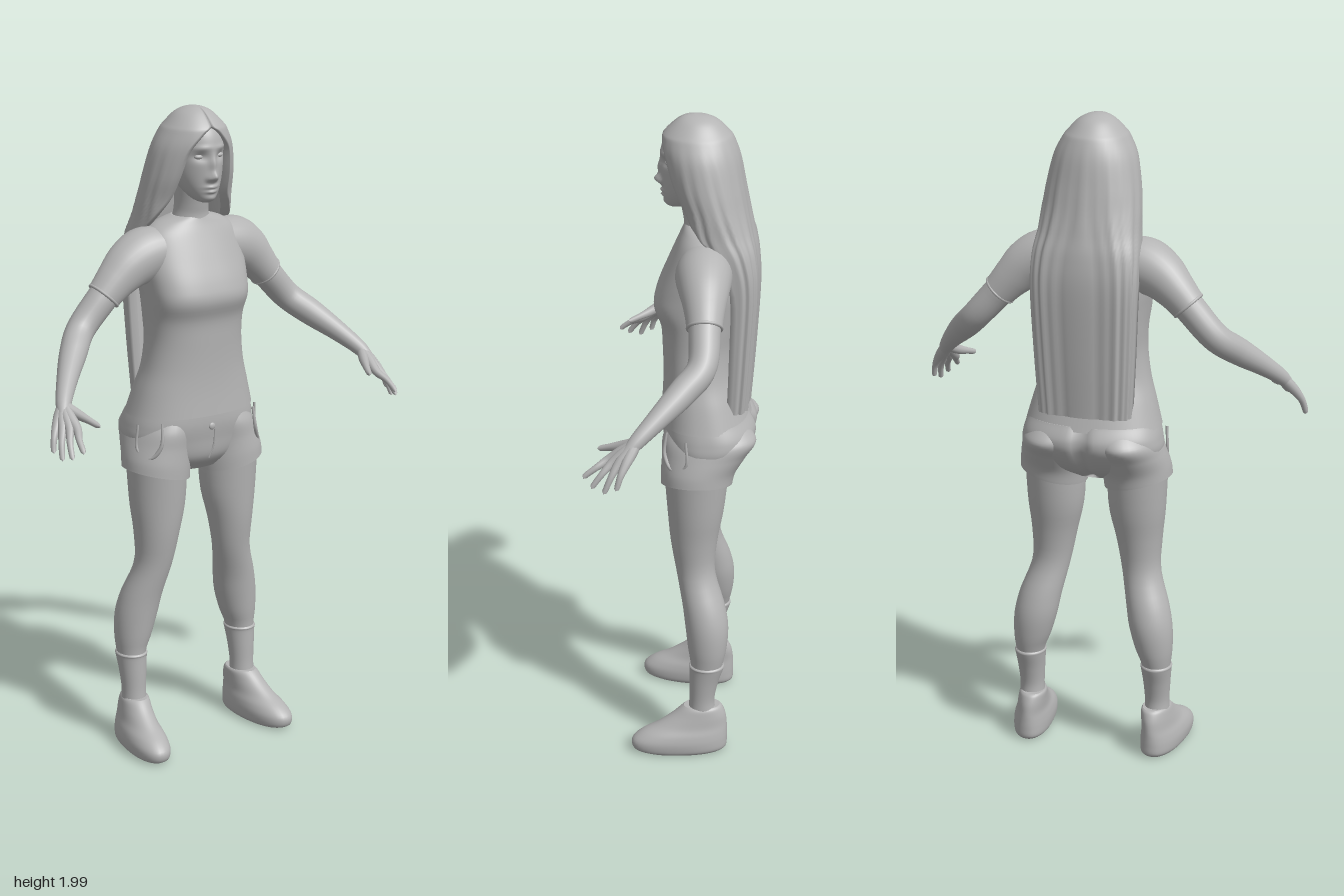
import * as THREE from 'three';

const grey = new THREE.MeshStandardMaterial({ color: 0xb4b4b4 });
grey.name = 'clay grey';

// Smooth interpolation through a list of equally long number rows, t in 0..1
function sample(rows, t) {
  const f = t * (rows.length - 1), i = Math.min(Math.floor(f), rows.length - 2), u = f - i;
  const at = (k) => rows[Math.max(0, Math.min(rows.length - 1, k))];
  const [a, b, c, d] = [at(i - 1), at(i), at(i + 1), at(i + 2)];
  return b.map((_, k) => b[k] + 0.5 * u * (c[k] - a[k]
    + u * (2 * a[k] - 5 * b[k] + 4 * c[k] - d[k] + u * (3 * (b[k] - c[k]) + d[k] - a[k]))));
}

// Skin a list of closed rings, bottom to top, with flat caps
function skin(rings) {
  const n = rings[0].length;
  const middle = (r) => {
    const m = r.reduce((s, p) => s.add(p), new THREE.Vector3()).divideScalar(n);
    return r.map(() => m);
  };
  const first = rings[0], last = rings[rings.length - 1];
  const pos = [], idx = [];
  for (const rows of [[middle(first), first], rings, [last, middle(last)]]) {
    const base = pos.length / 3;
    rows.forEach((r) => r.forEach((p) => pos.push(p.x, p.y, p.z)));
    for (let j = 0; j < rows.length - 1; j++) for (let i = 0; i < n; i++) {
      const a = base + j * n + i, b = base + j * n + (i + 1) % n;
      idx.push(a, b, b + n, a, b + n, a + n);
    }
  }
  const g = new THREE.BufferGeometry();
  g.setAttribute('position', new THREE.Float32BufferAttribute(pos, 3));
  g.setIndex(idx);
  g.computeVertexNormals();
  return g;
}

const power = (v, n) => Math.sign(v) * Math.abs(v) ** (2 / n);

// Stack of oval sections [y, centre x, half width, front z, back z, squareness (2 if left out)]
function loft(sections, side = 1, rule = null, rows = 32, cols = 40) {
  const full = sections.map((s) => [...s, 2].slice(0, 6));
  const rings = [];
  for (let j = 0; j <= rows; j++) {
    const [y, cx, hw, zf, zb, n] = sample(full, j / rows);
    const ring = [];
    for (let i = 0; i < cols; i++) {
      const a = i / cols * Math.PI * 2;
      const p = new THREE.Vector3(side * cx + hw * power(Math.sin(a), n), y,
        (zf + zb) / 2 + (zf - zb) / 2 * power(Math.cos(a), n));
      if (rule) rule(p, side * cx);
      ring.push(p);
    }
    rings.push(ring);
  }
  return skin(rings);
}

// Tapered tube through points [x, y, z, radius]
function limb(points, side = 1, segs = 24, sides = 16) {
  const curve = new THREE.CatmullRomCurve3(points.map((p) => new THREE.Vector3(side * p[0], p[1], p[2])));
  const radii = points.map((p) => [p[3]]);
  const g = new THREE.TubeGeometry(curve, segs, 1, sides), pos = g.attributes.position, v = new THREE.Vector3();
  for (let j = 0; j <= segs; j++) {
    const c = curve.getPointAt(j / segs);
    const r = Math.max(0.0005, sample(radii, curve.getUtoTmapping(j / segs))[0]);
    for (let i = 0; i <= sides; i++) {
      const k = j * (sides + 1) + i;
      v.fromBufferAttribute(pos, k).sub(c).multiplyScalar(r).add(c);
      pos.setXYZ(k, v.x, v.y, v.z);
    }
  }
  return g;
}

// Long hair: crescent sections [y, half width, front z, back z, squareness, reach in degrees, thickness]
function hairGeometry() {
  const sections = [
    [1.12, .142, -.10, -.21, 3.6, 92, .025], [1.3, .152, -.10, -.224, 3.6, 92, .025],
    [1.5, .16, -.10, -.235, 3.6, 93, .025], [1.6, .16, -.07, -.229, 3.2, 98, .025],
    [1.67, .152, -.02, -.215, 2.6, 120, .025], [1.73, .148, .005, -.203, 2.2, 138, .025],
    [1.8, .14, .035, -.19, 2.1, 143, .03], [1.88, .124, .055, -.175, 2, 148, .03],
    [1.93, .1, .055, -.157, 2, 165, .025], [1.95, .085, .046, -.143, 2, 180, .02],
    [1.98, .056, .015, -.112, 2, 180, .015], [1.995, .028, -.01, -.08, 2, 180, .008],
    [2, .002, -.04, -.044, 2, 180, .001]];
  const rings = [], rows = 60, cols = 60;
  for (let j = 0; j <= rows; j++) {
    const [y, hw, zf, zb, n, reach, t] = sample(sections, j / rows);
    const amax = Math.min(reach, 180) * Math.PI / 180, d = (zf - zb) / 2;
    const strand = 0.004 * THREE.MathUtils.clamp((1.95 - y) * 4, 0, 1);
    const arc = (inset) => Array.from({ length: cols + 1 }, (_, i) => {
      const a = amax * (2 * i / cols - 1);
      const k = inset ? -inset : strand * Math.cos(a * 17) * Math.cos(a * 5);
      return new THREE.Vector3(-(hw + k) * power(Math.sin(a), n), y, (zf + zb) / 2 - (d + k) * power(Math.cos(a), n));
    });
    rings.push([...arc(0), ...arc(t).reverse()]);
  }
  return skin(rings);
}

// Face relief: [x, y, spread x, spread y, depth]
const relief = [
  [0, 1.803, .013, .014, .021], [0, 1.838, .01, .03, .011], [.034, 1.862, .02, .013, -.011],
  [-.034, 1.862, .02, .013, -.011], [.034, 1.888, .026, .007, .004], [-.034, 1.888, .026, .007, .004],
  [0, 1.772, .02, .005, .008], [0, 1.758, .017, .005, .008], [0, 1.738, .02, .009, .004],
  [.014, 1.798, .007, .008, .007], [-.014, 1.798, .007, .008, .007]];
function sculptFace(p) {
  if (p.z < 0) return;
  const { x, y } = p;
  for (const [bx, by, sx, sy, d] of relief) p.z += d * Math.exp(-(((x - bx) / sx) ** 2) - ((y - by) / sy) ** 2);
}

export function createModel() {
  const model = new THREE.Group();
  model.name = 'standing woman';
  const add = (name, geometry) => {
    const m = new THREE.Mesh(geometry, grey);
    m.name = name;
    model.add(m);
    return m;
  };

  // Head, neck and hair
  add('head', loft([
    [1.722, 0, .012, .028, .0], [1.732, 0, .032, .043, -.04], [1.76, 0, .054, .05, -.085],
    [1.8, 0, .07, .053, -.12], [1.85, 0, .077, .056, -.14], [1.9, 0, .078, .056, -.145],
    [1.94, 0, .066, .04, -.13], [1.97, 0, .04, 0, -.095]], 1, sculptFace, 72, 96));
  add('neck', loft([[1.62, 0, .075, .0, -.14], [1.67, 0, .056, -.01, -.12], [1.71, 0, .05, -.005, -.115],
    [1.78, 0, .052, .01, -.115]]));
  add('hair', hairGeometry());

  // Shirt body
  add('shirt', loft([
    [1.075, 0, .207, .058, -.215, 2.3], [1.15, 0, .187, .052, -.19, 2.3], [1.22, 0, .167, .05, -.167, 2.3],
    [1.3, 0, .155, .052, -.16, 2.4], [1.37, 0, .155, .057, -.165, 2.6], [1.43, 0, .16, .077, -.17, 2.8],
    [1.48, 0, .165, .068, -.175, 2.7], [1.55, 0, .17, .04, -.175, 2.4], [1.62, 0, .155, .01, -.16, 2.2],
    [1.655, 0, .115, -.005, -.145], [1.674, 0, .06, -.012, -.122]], 1, null, 48, 64));

  // Shorts seat with a cleft at the back, button and fly
  add('shortsSeat', loft([
    [.895, 0, .1, .0, -.1], [.94, 0, .19, .035, -.175], [1, 0, .215, .046, -.222, 2.3],
    [1.045, 0, .212, .052, -.232, 2.4], [1.09, 0, .2, .052, -.212, 2.3]], 1,
    (p) => { if (p.z < -.1) p.z += .022 * Math.exp(-((p.x / .018) ** 2)); }, 32, 80));
  const button = add('shortsButton', new THREE.SphereGeometry(.011, 16, 10));
  button.position.set(0, 1.04, .052);
  button.scale.z = .5;
  add('shortsFly', limb([[.012, 1.03, .05, .003], [.012, .98, .044, .003], [0, .935, .034, .003]], 1, 10, 8));

  for (const side of [1, -1]) {
    const name = (part) => (side > 0 ? 'left' : 'right') + part;

    // Eye
    const eye = add(name('Eye'), new THREE.SphereGeometry(.013, 20, 12));
    eye.position.set(side * .034, 1.862, .032);
    eye.scale.set(1.2, .6, .8);

    // Shorts leg with slanted hem, and pocket edge
    add(name('ShortsLeg'), loft([
      [.892, .134, .103, .05, -.165], [.93, .13, .103, .05, -.175], [.98, .122, .1, .047, -.205],
      [1.03, .112, .095, .046, -.235], [1.075, .1, .08, .03, -.2]], side,
      (p, cx) => { p.y += .22 * side * (p.x - cx) * THREE.MathUtils.clamp((1.05 - p.y) / .15, 0, 1); }));
    add(name('Pocket'), limb([[.165, 1.07, .03, .004], [.172, 1.0, .036, .006], [.195, .96, .012, .006],
      [.215, .98, -.03, .005], [.213, 1.06, -.03, .004]], side, 24, 8));

    // Leg
    add(name('Leg'), loft([
      [.13, .205, .034, -.045, -.12], [.2, .205, .035, -.046, -.118], [.3, .205, .044, -.046, -.143],
      [.36, .197, .058, -.037, -.156], [.43, .186, .067, -.028, -.16], [.5, .172, .066, -.018, -.147],
      [.6, .145, .06, .002, -.116], [.7, .136, .071, .02, -.122], [.8, .13, .087, .03, -.14],
      [.93, .13, .093, .04, -.155]], side));

    // Sock
    add(name('Sock'), loft([
      [.13, .205, .04, -.038, -.126], [.18, .205, .038, -.042, -.12], [.24, .205, .042, -.042, -.131],
      [.29, .205, .047, -.042, -.147], [.3, .205, .049, -.04, -.149], [.305, .205, .045, -.044, -.146]], side));

    // Shoe, toes turned out
    add(name('Shoe'), loft([
      [.006, .215, .05, .11, -.145, 2.2], [.018, .215, .059, .132, -.158, 2.3], [.045, .215, .062, .135, -.16, 2.2],
      [.07, .214, .058, .108, -.16, 2.1], [.095, .212, .05, .06, -.159], [.125, .209, .046, .015, -.155],
      [.15, .206, .043, -.015, -.145], [.158, .205, .038, -.025, -.136]], side,
      (p) => { p.x += side * .1 * (p.z + .05); }));

    // Sleeve and its hem
    add(name('Sleeve'), limb([[.09, 1.575, -.075, .07], [.155, 1.565, -.078, .083], [.205, 1.54, -.082, .075],
      [.25, 1.5, -.086, .061], [.292, 1.455, -.089, .052]], side, 24, 28));
    const hem = add(name('SleeveHem'), new THREE.TorusGeometry(.049, .005, 8, 36));
    hem.position.set(side * .291, 1.456, -.089);
    hem.quaternion.setFromUnitVectors(new THREE.Vector3(0, 0, 1), new THREE.Vector3(side * .68, -.73, -.04).normalize());

    // Arm
    add(name('Arm'), limb([[.24, 1.51, -.086, .048], [.3, 1.446, -.09, .046], [.375, 1.365, -.085, .043],
      [.43, 1.315, -.035, .041], [.49, 1.258, .03, .031], [.535, 1.208, .085, .023], [.552, 1.178, .112, .017]], side, 36, 20));

    // Fingers, merging into the palm, and thumb
    const fingers = [[.538, .165, .558, 1.1, .235], [.555, .152, .58, 1.08, .21],
      [.568, .135, .592, 1.07, .175], [.578, .115, .6, 1.085, .14]];
    fingers.forEach(([kx, kz, tx, ty, tz], i) => add(name('Finger' + (i + 1)), limb([
      [.536, 1.207, .085, .016], [(kx + .538) / 2, 1.18, (kz + .085) / 2, .017], [kx, 1.152, kz, .0135],
      [(kx + tx) / 2 + .004, (1.152 + ty) / 2 + .005, (kz + tz) / 2, .0095], [tx, ty + .006, tz - .003, .0075],
      [tx, ty, tz, .001]], side, 24, 12)));
    add(name('Thumb'), limb([[.535, 1.205, .09, .015], [.515, 1.185, .13, .015], [.498, 1.172, .165, .0105],
      [.486, 1.162, .194, .008], [.483, 1.16, .202, .001]], side, 20, 12));
  }
  return model;
}
